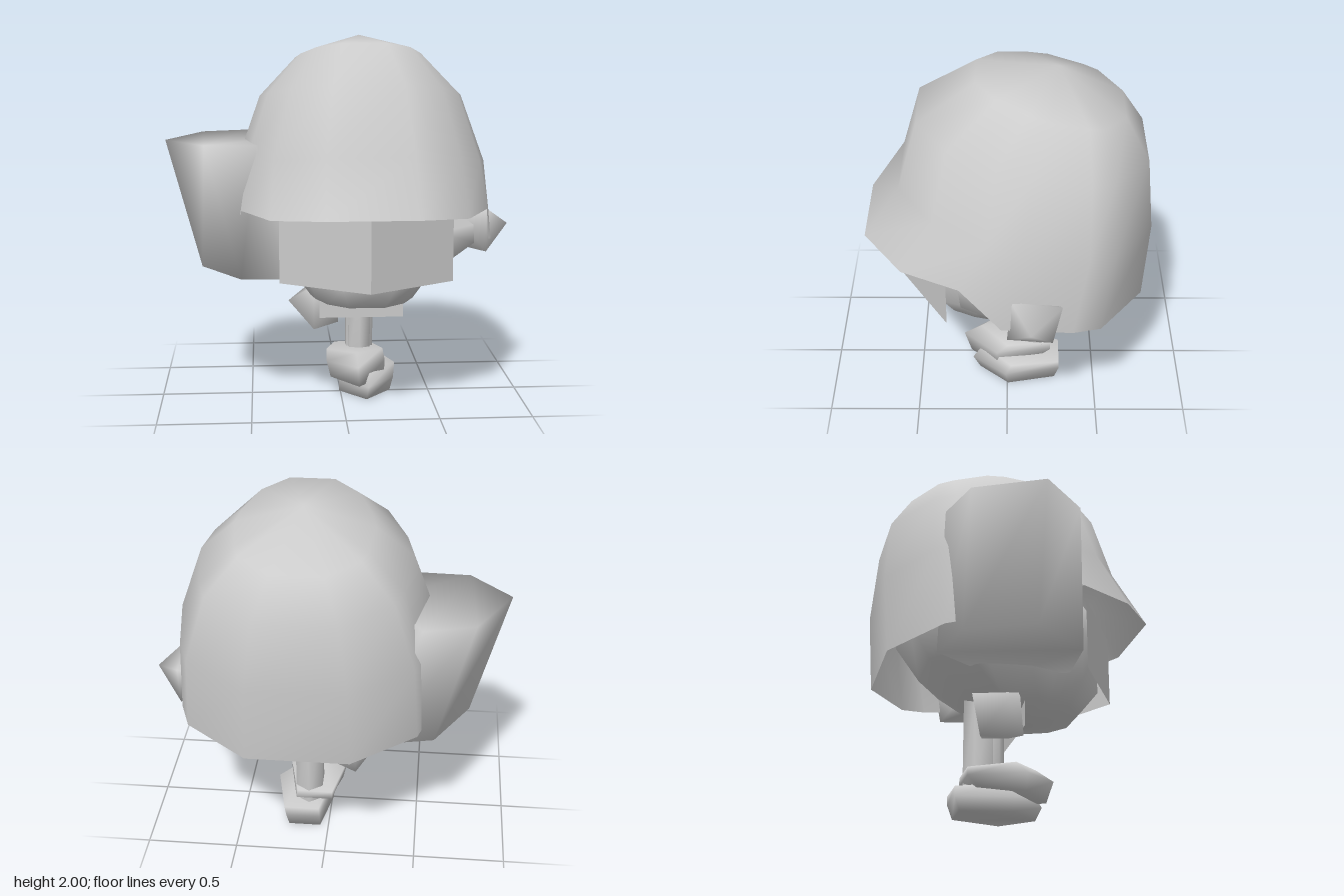
import * as THREE from 'three';
import { mergeVertices } from 'three/addons/utils/BufferGeometryUtils.js';

const grey = new THREE.MeshStandardMaterial({ color: 0xcccccc, side: THREE.DoubleSide });
const cx = 0.12;

// Smooth skin between rings of [x, y, z] points, with optional ends that share its normals
function loft(rings, closed = false) {
  const n = rings[0].length, top = (rings.length - 1) * n;
  const index = [];
  for (let i = 0; i < rings.length - 1; i++) {
    for (let j = 0; j < n; j++) {
      const a = i * n + j, b = i * n + (j + 1) % n;
      index.push(a, b, b + n, a, b + n, a + n);
    }
  }
  if (closed) {
    for (let j = 1; j < n - 1; j++) index.push(0, j + 1, j, top, top + j, top + j + 1);
  }
  const g = new THREE.BufferGeometry();
  g.setAttribute('position', new THREE.Float32BufferAttribute(rings.flat(2), 3));
  g.setIndex(index);
  const merged = mergeVertices(g, 1e-4);
  merged.computeVertexNormals();
  return merged;
}

// Horizontal n-sided ring with a point to the front; tilt raises the front and lowers the back
function ring(n, x, y, z, rx, rz, tilt = 0) {
  return Array.from({ length: n }, (_, i) => {
    const a = (i / n) * Math.PI * 2;
    return [x + rx * Math.sin(a), y + tilt * Math.cos(a), z + rz * Math.cos(a)];
  });
}

// Plan shared by helmet and head, front to back: [x share, z share, helmet rim height]
const half = [
  [0.33, 1, 1.12], [0.71, 0.72, 1.09], [0.92, 0.31, 1.09], [1, 0.02, 0.88],
  [0.93, -0.48, 0.82], [0.85, -0.68, 0.8], [0.38, -1, 0.77],
];
const plan = [...half, ...half.map(([x, z, y]) => [-x, z, y]).reverse()];

// Sloping ring through a front and a back point
function slopedRing([w, fz, fy, bz, by]) {
  return plan.map(([px, pz]) => [
    cx + w * px,
    (fy + by) / 2 + pz * (fy - by) / 2,
    (fz + bz) / 2 + pz * (fz - bz) / 2,
  ]);
}

export function createModel() {
  const model = new THREE.Group();
  const add = (name, geometry) => {
    const mesh = new THREE.Mesh(geometry, grey);
    mesh.name = name;
    model.add(mesh);
    return mesh;
  };

  // Helmet: the rim is high over the face and low behind
  const rim = plan.map(([px, pz, y]) => [cx + 0.72 * px, y, 0.015 + 0.735 * pz]);
  add('helmet', loft([rim, ...[
    [0.69, 0.56, 1.41, -0.75, 1.2],
    [0.56, 0.46, 1.77, -0.72, 1.57],
    [0.36, 0.16, 1.97, -0.6, 1.78],
    [0, -0.26, 2, -0.26, 2],
  ].map(slopedRing)]));

  // Head: only the chin, cheeks and nape show under the helmet
  add('head', loft([
    [0, 0.06, 0.515, 0.06, 0.515],
    [0.29, 0.37, 0.58, -0.18, 0.6],
    [0.42, 0.48, 0.71, -0.47, 0.8],
    [0.52, 0.47, 0.95, -0.6, 1],
    [0.5, 0.42, 1.2, -0.6, 1.25],
    [0, -0.05, 1.4, -0.05, 1.4],
  ].map(slopedRing)));

  // Face mask: two flat panels meeting in the middle
  const panelLength = Math.hypot(0.465, 0.28);
  for (const s of [-1, 1]) {
    const panel = add(s > 0 ? 'leftMaskPanel' : 'rightMaskPanel', new THREE.PlaneGeometry(panelLength, 0.4));
    panel.position.set(cx + s * 0.2325, 0.91, 0.46);
    panel.rotation.y = s * Math.atan2(0.28, 0.465);
  }

  // Uneven six-sided bucket leaning away from the right side of the head
  const bucketBottom = [[-0.55, 0.23], [-0.25, 0.25], [-0.06, -0.1], [-0.28, -0.48], [-0.58, -0.41], [-0.77, -0.07]];
  const bucketTop = [[-0.74, 0.17], [-0.46, 0.18], [-0.28, -0.15], [-0.5, -0.495], [-0.77, -0.42], [-0.96, -0.07]];
  add('bucket', loft([
    bucketBottom.map(([x, z]) => [x, 0.72 - 0.03 * z, z]),
    bucketTop.map(([x, z]) => [x, 1.435 - 0.02 * z, z]),
  ], true));

  // Hands: a skewed block that ends in a point
  const fist = [[0.125, 0.11], [-0.12, 0.13], [-0.14, -0.105], [0.09, -0.15]];
  const handGeometry = loft([
    fist.map(([y, z]) => [-0.12, y * 0.6 - 0.02, z * 0.6]),
    fist.map(([y, z]) => [0.02, y, z]),
    fist.map(() => [0.16, 0.02, 0.01]),
  ], true);
  add('leftHand', handGeometry).position.set(0.8, 0.92, -0.13);
  const rightHand = add('rightHand', handGeometry);
  rightHand.position.set(-0.13, 0.49, -0.11);
  rightHand.scale.x = -1;

  // Left arm: a sleeve reaching from behind the mask to the hand
  const shoulder = new THREE.Vector3(0.46, 0.88, 0.15), wrist = new THREE.Vector3(0.7, 0.92, 0);
  const arm = add('leftArm', new THREE.CylinderGeometry(0.09, 0.16, shoulder.distanceTo(wrist), 5));
  arm.position.copy(shoulder).lerp(wrist, 0.5);
  arm.quaternion.setFromUnitVectors(new THREE.Vector3(0, 1, 0), wrist.clone().sub(shoulder).normalize());

  // Flat bib hanging below the chin
  add('bib', new THREE.PlaneGeometry(0.47, 0.22)).position.set(0.115, 0.55, 0.035);

  // Legs, one just ahead of the other
  add('rearLeg', loft([ring(6, 0.115, 0.1, -0.15, 0.087, 0.095), ring(6, 0.115, 0.66, -0.15, 0.087, 0.095)]));
  add('frontLeg', loft([ring(6, 0.11, 0.15, -0.1, 0.07, 0.08), ring(6, 0.115, 0.64, -0.1, 0.07, 0.08)]));

  // Shoes: pointed at the toe, narrow at the heel, the second one lifted
  add('lowerShoe', loft([
    ring(5, 0.137, 0, -0.08, 0.152, 0.24),
    ring(5, 0.145, 0.08, -0.076, 0.163, 0.276),
    ring(5, 0.152, 0.15, -0.1, 0.166, 0.245, 0.02),
  ], true));
  add('raisedShoe', loft([
    ring(5, 0.092, 0.11, -0.01, 0.158, 0.22, -0.02),
    ring(5, 0.083, 0.19, -0.026, 0.172, 0.276, 0.02),
    ring(5, 0.08, 0.24, -0.07, 0.168, 0.22, 0.025),
  ], true));

  return model;
}
